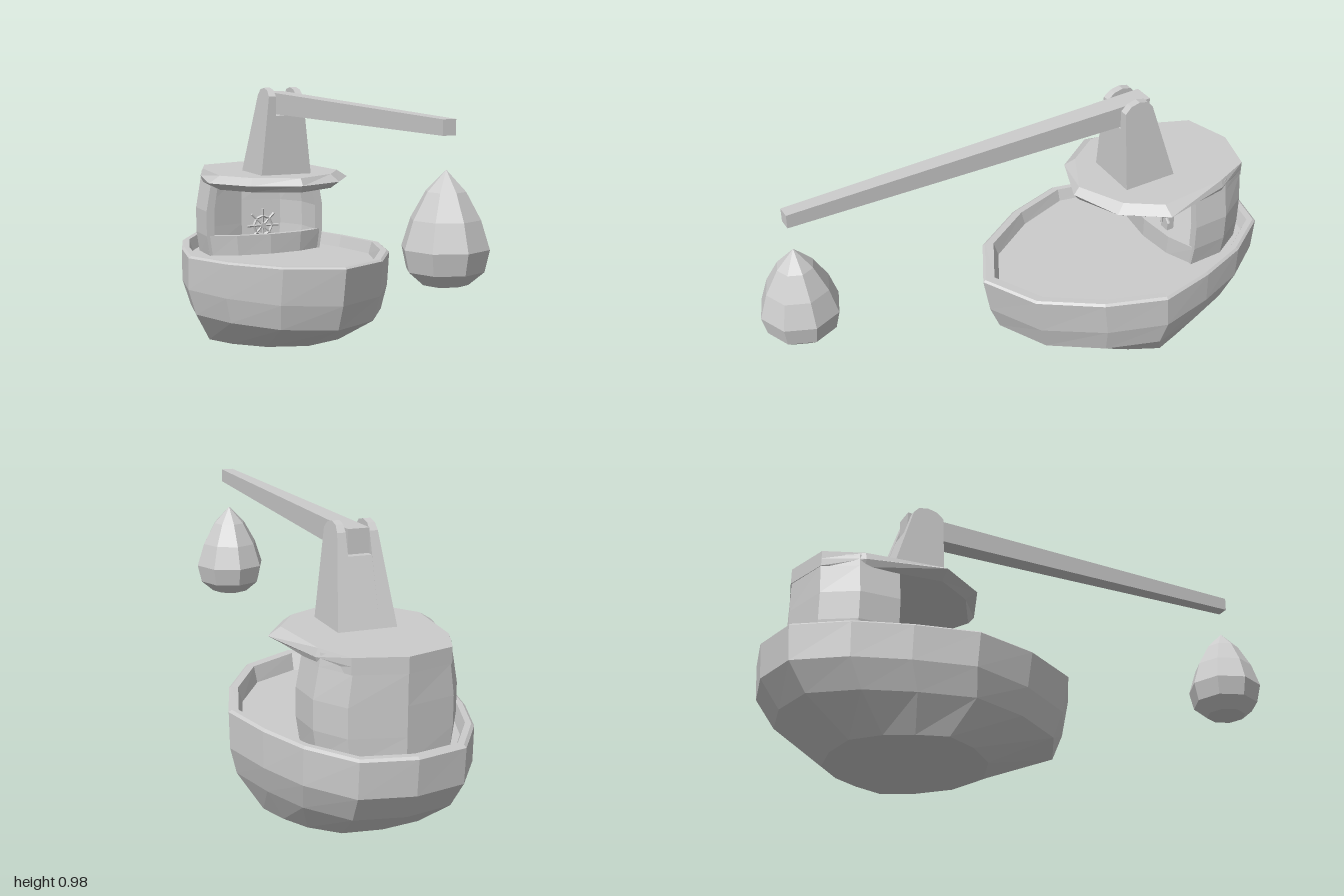
import * as THREE from 'three';

const mat = new THREE.MeshStandardMaterial({ color: 0xcccccc, flatShading: true, side: THREE.DoubleSide });

// Mirror a half outline (bow to stern along +x) into a full ring
const mirror = half => [...half, ...half.slice(1, -1).reverse().map(([x, z]) => [-x, z])];

// Skin between rings of [x, y, z]; ends closed with a fan, or a strip for thin walls
function loft(rings, cap = 'fan') {
  const pos = [];
  const tri = (a, b, c) => pos.push(...a, ...b, ...c);
  const quad = (a, b, c, d) => { tri(a, b, c); tri(a, c, d); };
  const n = rings[0].length;
  for (let k = 0; k < rings.length - 1; k++) {
    const lo = rings[k], hi = rings[k + 1];
    for (let i = 0; i < n; i++) {
      const j = (i + 1) % n;
      quad(lo[i], lo[j], hi[j], hi[i]);
    }
  }
  const close = (r, up) => {
    if (cap === 'strip') {
      for (let i = 0; i < n / 2 - 1; i++) {
        const q = [r[i], r[i + 1], r[n - 2 - i], r[n - 1 - i]];
        quad(...(up ? q : q.reverse()));
      }
      return;
    }
    const c = [0, 1, 2].map(a => r.reduce((s, p) => s + p[a], 0) / n);
    r.forEach((p, i) => {
      const q = r[(i + 1) % n];
      up ? tri(p, q, c) : tri(q, p, c);
    });
  };
  close(rings[0], false);
  close(rings[rings.length - 1], true);
  const g = new THREE.BufferGeometry();
  g.setAttribute('position', new THREE.Float32BufferAttribute(pos, 3));
  g.computeVertexNormals();
  return g;
}

export function createModel() {
  const model = new THREE.Group();
  const add = (name, geometry, parent = model) => {
    const m = new THREE.Mesh(geometry, mat);
    m.name = name;
    parent.add(m);
    return m;
  };

  // Hull: one plan outline fitted to each level, over the rim and down to the deck
  const plan = mirror([[0, 0.157], [0.2, 0.05], [0.335, -0.16], [0.408, -0.385],
    [0.362, -0.6], [0.296, -0.79], [0.18, -0.96], [0, -1]]);
  // y, half width, bow z, stern z, bow lift
  const levels = [
    [0, 0.308, -0.18, -0.74, 0], [0.118, 0.382, 0.09, -0.92, 0], [0.215, 0.408, 0.13, -0.99, 0],
    [0.338, 0.408, 0.157, -1, 0.018], [0.346, 0.398, 0.147, -0.99, 0.016],
    [0.346, 0.376, 0.11, -0.965, 0.014], [0.3, 0.362, 0.09, -0.945, 0],
  ];
  add('hull', loft(levels.map(([y, w, bow, stern, lift]) => plan.map(([x, z]) => {
    const t = (z + 1) / 1.157;
    return [x * w / 0.408, y + lift * Math.max(0, t * 2 - 1), stern + (bow - stern) * t];
  }))));

  // Cabin wall: horseshoe open to the front, leaning inward near the roof
  const cabin = [
    [0.255, -0.61], [0.25, -0.75], [0.18, -0.865], [0, -0.912], [-0.18, -0.865], [-0.25, -0.75], [-0.255, -0.61],
    [-0.222, -0.61], [-0.217, -0.735], [-0.16, -0.835], [0, -0.88], [0.16, -0.835], [0.217, -0.735], [0.222, -0.61],
  ];
  const wallLevels = [[0.29, 0.94], [0.38, 0.995], [0.48, 0.995], [0.585, 0.92], [0.63, 0.89]];
  add('cabinWall', loft(wallLevels.map(([y, s]) => cabin.map(([x, z]) => [x * s, y, z])), 'strip'));

  // Low curved sill across the cabin opening
  const sill = [
    [-0.253, -0.615], [-0.14, -0.57], [0, -0.555], [0.14, -0.57], [0.253, -0.615],
    [0.225, -0.63], [0.13, -0.593], [0, -0.58], [-0.13, -0.593], [-0.225, -0.63],
  ];
  add('cabinSill', loft([[0.29, 0.95], [0.38, 1]].map(([y, s]) => sill.map(([x, z]) => [x * s, y, z])), 'strip'));

  // Roof with a bevelled visor
  const roofEdge = mirror([[0, -0.228], [0.185, -0.3], [0.295, -0.46], [0.235, -0.73], [0.17, -0.865], [0, -0.915]]);
  const roofFace = mirror([[0, -0.25], [0.165, -0.335], [0.25, -0.46], [0.225, -0.73], [0.17, -0.865], [0, -0.915]]);
  add('roof', loft([[roofFace, 0.585], [roofEdge, 0.612], [roofFace, 0.64]]
    .map(([ring, y]) => ring.map(([x, z]) => [x, y, z]))));

  // Steering wheel on a pedestal
  const helm = new THREE.Group();
  helm.name = 'helm';
  model.add(helm);
  add('helmPedestal', new THREE.BoxGeometry(0.04, 0.11, 0.03).translate(0, 0.345, -0.67), helm);
  add('wheelRim', new THREE.TorusGeometry(0.04, 0.006, 4, 8).translate(0, 0.405, -0.64), helm);
  add('wheelHub', new THREE.CylinderGeometry(0.012, 0.012, 0.04, 8).rotateX(Math.PI / 2).translate(0, 0.405, -0.65), helm);
  for (let i = 0; i < 8; i++) {
    const angle = i * Math.PI / 4;
    const spoke = new THREE.CylinderGeometry(0.006, 0.004, 0.066, 5).translate(0, 0.035, 0);
    add('wheelSpoke', spoke.rotateZ(angle).translate(0, 0.405, -0.64), helm);
  }

  // Crane post: tapered core and two rounded cheeks around the arm slot
  const tower = new THREE.Group();
  tower.name = 'cranePost';
  model.add(tower);
  const slab = (profile, x0, x1) => {
    const shape = new THREE.Shape(profile.map(([z, y]) => new THREE.Vector2(-z, y)));
    const g = new THREE.ExtrudeGeometry(shape, { depth: x1 - x0, bevelEnabled: false });
    return g.rotateY(Math.PI / 2).translate(x0, 0, 0);
  };
  add('postCore', slab([[-0.39, 0.635], [-0.6, 0.635], [-0.527, 0.87], [-0.39, 0.87]], -0.042, 0.042), tower);
  const cheek = [[-0.39, 0.635], [-0.6, 0.635], [-0.505, 0.945], [-0.485, 0.968],
    [-0.45, 0.976], [-0.415, 0.968], [-0.39, 0.945]];
  for (const side of [-1, 1]) {
    const g = side > 0 ? slab(cheek, 0.042, 0.1) : slab(cheek, -0.1, -0.042);
    const p = g.attributes.position;
    for (let i = 0; i < p.count; i++) {
      if (Math.abs(p.getX(i)) > 0.07) p.setX(i, side * (0.104 - 0.036 * (p.getY(i) - 0.64) / 0.336));
    }
    g.computeVertexNormals();
    add(side > 0 ? 'leftCheek' : 'rightCheek', g, tower);
  }

  // Crane arm, thinning toward its tip
  const arm = new THREE.BoxGeometry(2, 2, 1);
  const a = arm.attributes.position;
  for (let i = 0; i < a.count; i++) {
    const tip = a.getZ(i) > 0;
    a.setXYZ(i, a.getX(i) * (tip ? 0.023 : 0.038), 0.916 + a.getY(i) * (tip ? 0.025 : 0.042), tip ? 0.877 : -0.515);
  }
  arm.computeVertexNormals();
  add('craneArm', arm);

  // Drop-shaped weight beneath the arm tip
  const drop = [[0, 0.432], [0.075, 0.432], [0.125, 0.475], [0.141, 0.545], [0.112, 0.635], [0.064, 0.72], [0, 0.786]];
  add('hangingWeight', new THREE.LatheGeometry(drop.map(p => new THREE.Vector2(...p)), 8)).position.z = 0.86;

  return model;
}
